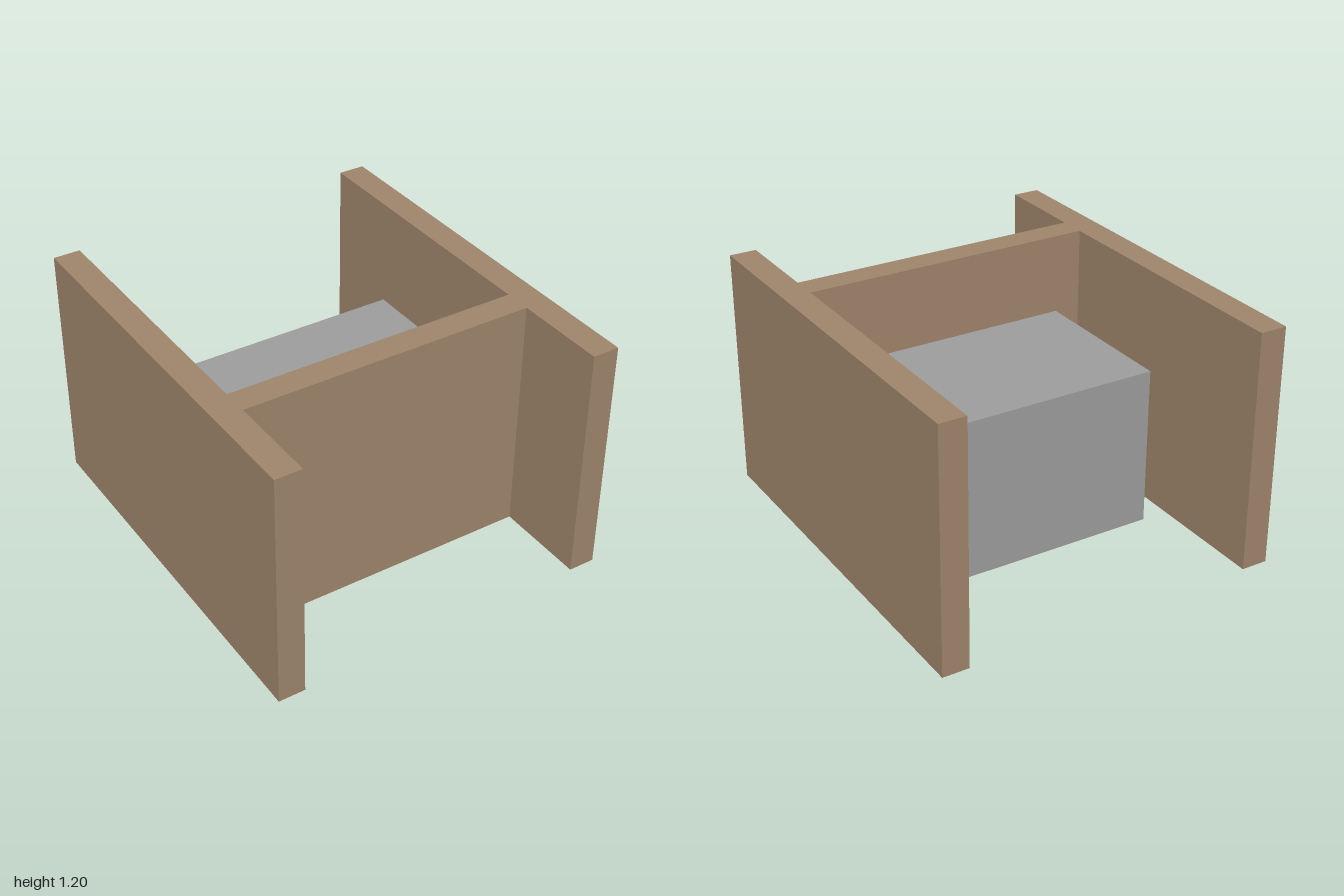
import * as THREE from 'three';

export function createModel() {
  const group = new THREE.Group();
  const brown = new THREE.MeshStandardMaterial({ color: 0xa0866c });
  brown.name = 'brown';
  const grey = new THREE.MeshStandardMaterial({ color: 0x9e9e9e });
  grey.name = 'grey';

  const X = 0.865, XI = 0.732; // outer and inner faces of the side walls
  const Z0 = 0.4, Z1 = 0.533; // back and front faces of the cross wall
  const H = 1.2;

  // H-shaped plan (x, z): two side walls joined by a cross wall
  const plan = [
    [-X, -1], [-XI, -1], [-XI, Z0], [XI, Z0], [XI, -1], [X, -1],
    [X, 1], [XI, 1], [XI, Z1], [-XI, Z1], [-XI, 1], [-X, 1],
  ];
  const shape = new THREE.Shape(plan.map(([x, z]) => new THREE.Vector2(x, -z)));
  const wallGeo = new THREE.ExtrudeGeometry(shape, { depth: H, bevelEnabled: false });
  wallGeo.rotateX(-Math.PI / 2);
  const walls = new THREE.Mesh(wallGeo, brown);
  walls.name = 'walls';
  group.add(walls);

  // Block standing against the back of the cross wall
  const block = new THREE.Mesh(new THREE.BoxGeometry(1.2, 0.8, 0.8), grey);
  block.name = 'block';
  block.position.set(0, 0.4, 0);
  group.add(block);

  return group;
}
